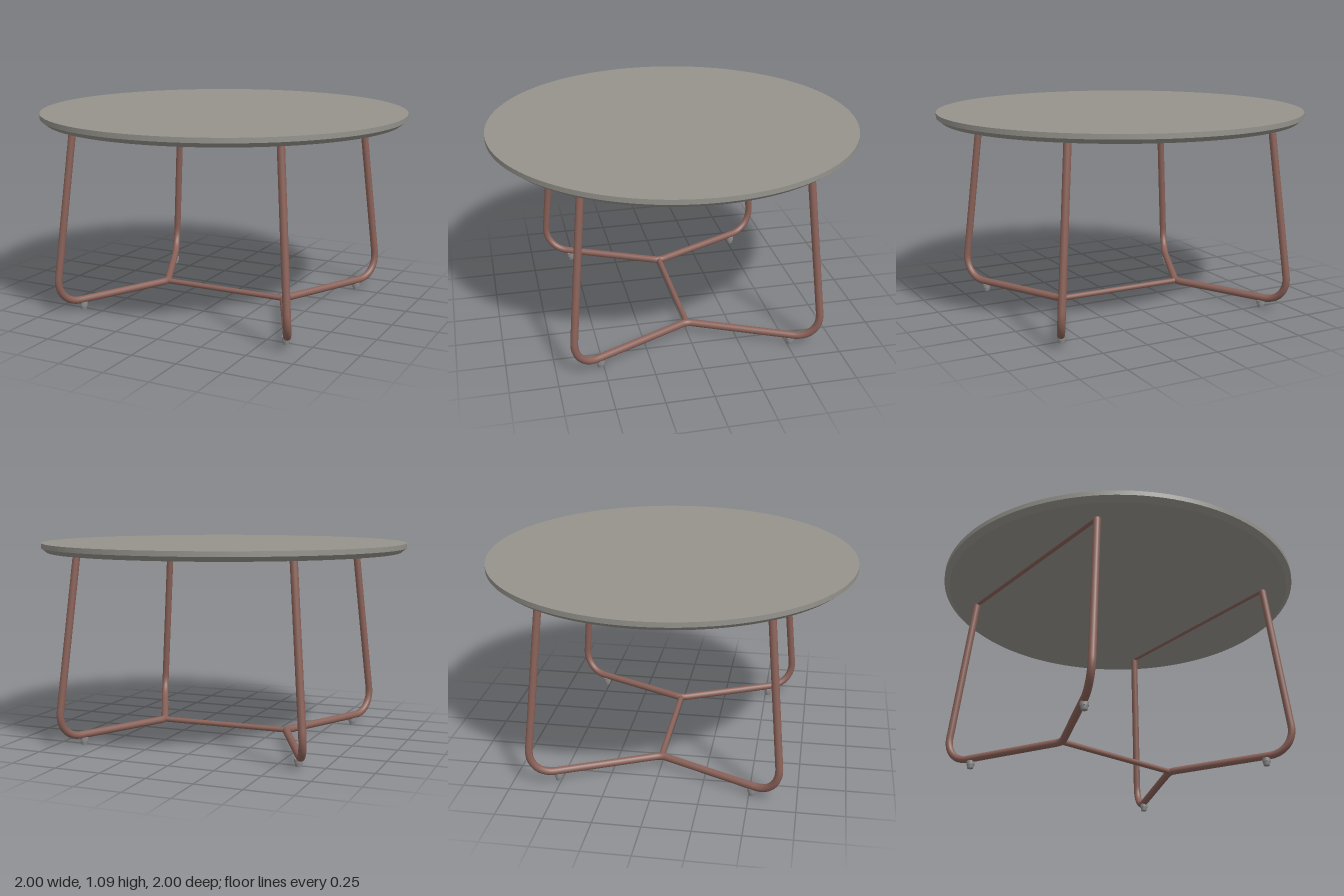
import * as THREE from 'three';

const v = (x, y, z) => new THREE.Vector3(x, y, z);

export function createModel() {
  const model = new THREE.Group();
  model.name = 'roundTable';
  const stone = new THREE.MeshStandardMaterial({ color: 0x95938c });
  stone.name = 'warm grey top';
  const metal = new THREE.MeshStandardMaterial({ color: 0x8a6259 });
  metal.name = 'brown metal';
  const glide = new THREE.MeshStandardMaterial({ color: 0x8c8c8c });
  glide.name = 'grey glide';

  const add = (parent, name, geometry, material, x = 0, y = 0, z = 0) => {
    const mesh = new THREE.Mesh(geometry, material);
    mesh.name = name;
    mesh.position.set(x, y, z);
    parent.add(mesh);
    return mesh;
  };

  // Tabletop: flat disc, short upright rim, bevelled underside
  add(model, 'tabletopSurface', new THREE.CylinderGeometry(1, 1, 0.026, 128), stone, 0, 1.077, 0);
  add(model, 'tabletopBevel', new THREE.CylinderGeometry(1, 0.97, 0.024, 128), stone, 0, 1.052, 0);

  // Path of one leg frame: down, round the corner, in to the apex and back out
  const framePath = () => {
    const path = new THREE.CurvePath();
    const top = (s) => v(0.597, 1.052, 0.58 * s);
    const corner = (s) => v(0.687, 0.055, 0.667 * s);
    const apex = v(0.37, 0.055, 0);
    const toward = (a, b, d) => a.clone().add(b.clone().sub(a).setLength(d));
    const bend = (s) => {
      const c = corner(s), r = 0.15;
      return [toward(c, top(s), r), toward(c, top(s), r * 0.44),
        toward(c, apex, r * 0.44), toward(c, apex, r)];
    };
    const a = bend(1), b = bend(-1).reverse();
    const in1 = toward(apex, corner(1), 0.035), in2 = toward(apex, corner(-1), 0.035);
    path.add(new THREE.LineCurve3(top(1), a[0]));
    path.add(new THREE.CubicBezierCurve3(...a));
    path.add(new THREE.LineCurve3(a[3], in1));
    path.add(new THREE.QuadraticBezierCurve3(in1, apex, in2));
    path.add(new THREE.LineCurve3(in2, b[0]));
    path.add(new THREE.CubicBezierCurve3(...b));
    path.add(new THREE.LineCurve3(b[3], top(-1)));
    return path;
  };

  for (const side of [1, -1]) {
    const frame = new THREE.Group();
    frame.name = side > 0 ? 'leftFrame' : 'rightFrame';
    add(frame, 'legTube', new THREE.TubeGeometry(framePath(), 240, 0.02, 16), metal);
    // Bar under the top joining the two legs
    add(frame, 'topBar', new THREE.CylinderGeometry(0.016, 0.016, 1.16, 16), metal, 0.597, 1.049, 0)
      .rotation.x = Math.PI / 2;
    // Glides under the leg corners
    for (const z of [0.515, -0.515]) {
      add(frame, 'footGlide', new THREE.CylinderGeometry(0.022, 0.022, 0.02, 20), glide, 0.612, 0.03, z);
      add(frame, 'footPad', new THREE.CylinderGeometry(0.02, 0.016, 0.02, 20), glide, 0.612, 0.01, z);
    }
    if (side < 0) frame.rotation.y = Math.PI;
    model.add(frame);
  }

  // Stretcher between the two frame apexes
  add(model, 'stretcher', new THREE.CylinderGeometry(0.015, 0.015, 0.76, 16), metal, 0, 0.055, 0)
    .rotation.z = Math.PI / 2;

  return model;
}
